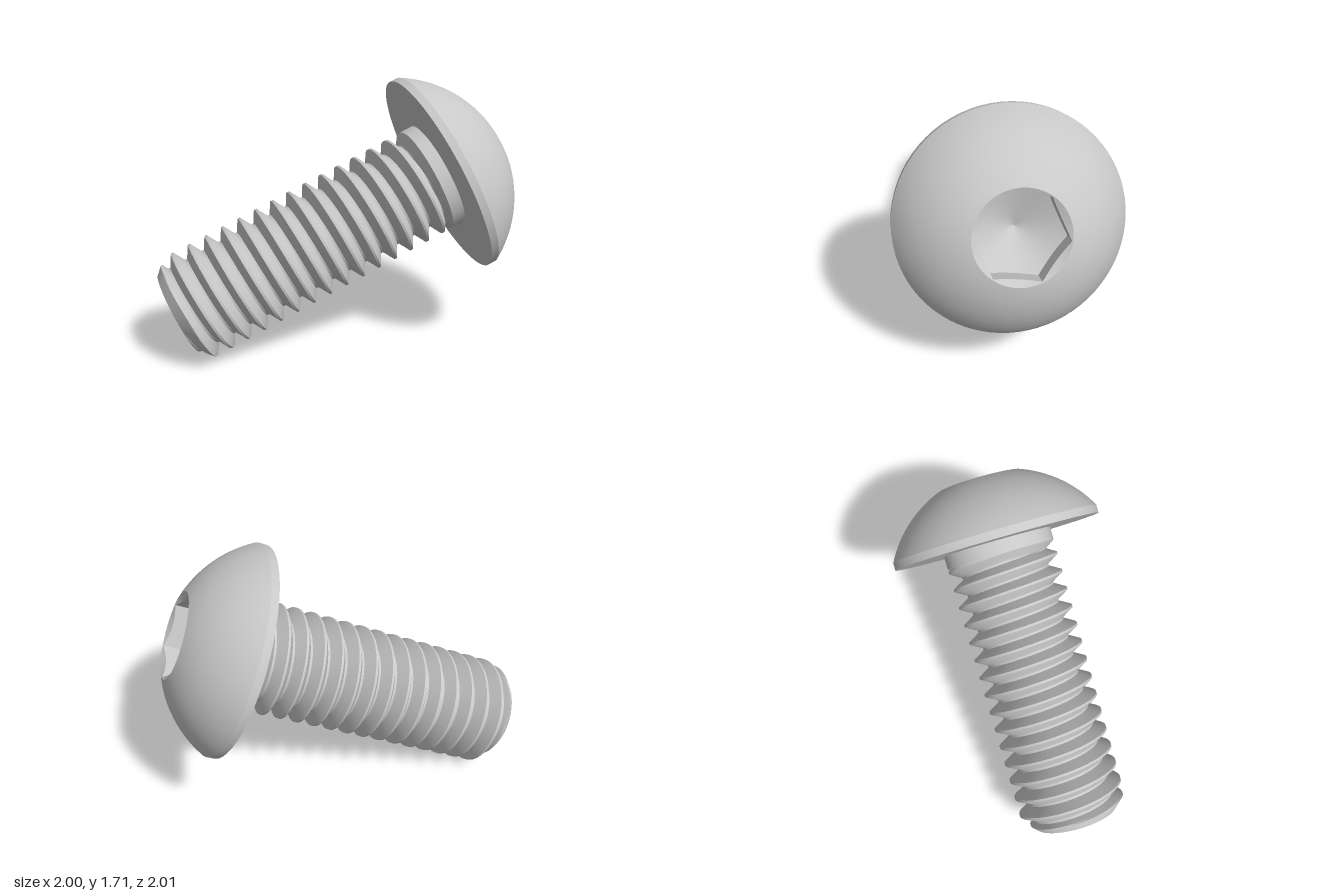
import * as THREE from 'three';
import { toCreasedNormals } from 'three/addons/utils/BufferGeometryUtils.js';

const R = 0.357;          // thread crest radius
const ROOT = 0.281;       // thread root radius
const TIP = 0.275;        // flat tip radius
const PITCH = 0.119;
const LENGTH = 1.894;     // tip to underside of head
const THREAD_END = 1.81;
const HEAD_R = 0.68, HEAD_H = 0.402, RIM = 0.05;
const HEX = 0.272;        // socket corner radius
const SOCKET_R = 0.277;   // round countersink edge
const HEX_TURN = THREE.MathUtils.degToRad(10);
const CREASE = 0.4;

const lathe = (pts, seg) => toCreasedNormals(
  new THREE.LatheGeometry(pts.map(([x, y]) => new THREE.Vector2(x, y)), seg), CREASE);

function surface(pos, index) {
  const g = new THREE.BufferGeometry();
  g.setAttribute('position', new THREE.Float32BufferAttribute(pos, 3));
  g.setIndex(index);
  return toCreasedNormals(g, CREASE);
}

// Helical V thread: rows follow the helix and are clipped by the tip chamfer and the run-out
function threadGeometry() {
  const seg = 64, steps = 16, rows = 18 * steps;
  const pos = [], index = [], ts = [];
  for (let j = 0; j <= rows; j++) {
    const f = (j % steps) / steps;
    const d = Math.min(f, 1 - f); // distance from the crest in pitches
    const h = THREE.MathUtils.clamp((0.4375 - d) / 0.375, 0, 1);
    for (let i = 0; i <= seg; i++) {
      const a = (i / seg) * Math.PI * 2;
      const t = THREE.MathUtils.clamp((j / steps - 1.5 + i / seg) * PITCH, 0, THREAD_END);
      let r = ROOT + (R - ROOT) * h;
      r = Math.max(r, R - (THREAD_END - t) * 1.5);
      r = Math.min(r, TIP + t);
      ts.push(t);
      pos.push(r * Math.cos(a), t, -r * Math.sin(a));
    }
  }
  const w = seg + 1;
  const tri = (a, b, c) => {
    if (ts[a] !== ts[b] || ts[b] !== ts[c]) index.push(a, b, c);
  };
  for (let j = 0; j < rows; j++) {
    for (let i = 0; i < seg; i++) {
      const a = j * w + i;
      tri(a, a + 1, a + w);
      tri(a + 1, a + w + 1, a + w);
    }
  }
  return surface(pos, index);
}

// Hexagonal socket: countersunk edge, six walls and a conical floor
function socketGeometry() {
  const seg = 72, w = seg + 1, slope = 0.577;
  const floorY = HEAD_H - 0.11; // floor height at the corners
  const apothem = HEX * Math.cos(Math.PI / 6);
  const pos = [], index = [];
  for (let j = 0; j < 4; j++) {
    for (let i = 0; i <= seg; i++) {
      const a = (i / seg) * Math.PI * 2;
      const hexR = apothem / Math.cos((a % (Math.PI / 3)) - Math.PI / 6);
      const [r, y] = [
        [SOCKET_R, HEAD_H],
        [hexR, HEAD_H - (SOCKET_R - hexR) * slope],
        [hexR, floorY - (HEX - hexR) * slope],
        [0, floorY - HEX * slope],
      ][j];
      pos.push(r * Math.cos(a + HEX_TURN), y, r * Math.sin(a + HEX_TURN));
    }
  }
  for (let j = 0; j < 3; j++) {
    for (let i = 0; i < seg; i++) {
      const a = j * w + i;
      index.push(a, a + w, a + 1);
      if (j < 2) index.push(a + 1, a + w, a + w + 1);
    }
  }
  return surface(pos, index);
}

export function createModel() {
  const steel = new THREE.MeshStandardMaterial({ color: 0xc8c8c8 });
  steel.name = 'steel grey';

  const screw = new THREE.Group();
  screw.name = 'screw';
  const add = (name, geometry, parent = screw) => {
    const m = new THREE.Mesh(geometry, steel);
    m.name = name;
    parent.add(m);
  };

  // Shank
  add('thread', threadGeometry());
  add('tipFace', new THREE.CircleGeometry(TIP, 64).rotateX(Math.PI / 2));
  add('neck', lathe([[R, THREAD_END], [R, LENGTH]], 64));

  // Button head: flat underside, short rim, spherical dome
  const head = new THREE.Group();
  head.name = 'head';
  head.position.y = LENGTH;
  screw.add(head);

  const c = (SOCKET_R ** 2 + HEAD_H ** 2 - HEAD_R ** 2 - RIM ** 2) / (2 * (HEAD_H - RIM));
  const domeR = Math.hypot(HEAD_R, RIM - c);
  const a0 = Math.atan2(RIM - c, HEAD_R), a1 = Math.atan2(HEAD_H - c, SOCKET_R);
  const profile = [[R - 0.02, 0], [HEAD_R, 0]];
  for (let i = 0; i <= 16; i++) {
    const a = a0 + (a1 - a0) * i / 16;
    profile.push([domeR * Math.cos(a), c + domeR * Math.sin(a)]);
  }
  add('dome', lathe(profile, 72), head);
  add('socket', socketGeometry(), head);

  // Lay the screw along its slanted axis
  const axis = new THREE.Vector3(0.644, 0.412, -0.644).normalize();
  const side = new THREE.Vector3(1, 0, 1).normalize();
  const up = new THREE.Vector3().crossVectors(side, axis);
  screw.quaternion.setFromRotationMatrix(new THREE.Matrix4().makeBasis(side, axis, up));
  screw.position.set(-0.79, 0.29, 0.79);

  const model = new THREE.Group();
  model.name = 'buttonHeadScrew';
  model.add(screw);
  return model;
}
